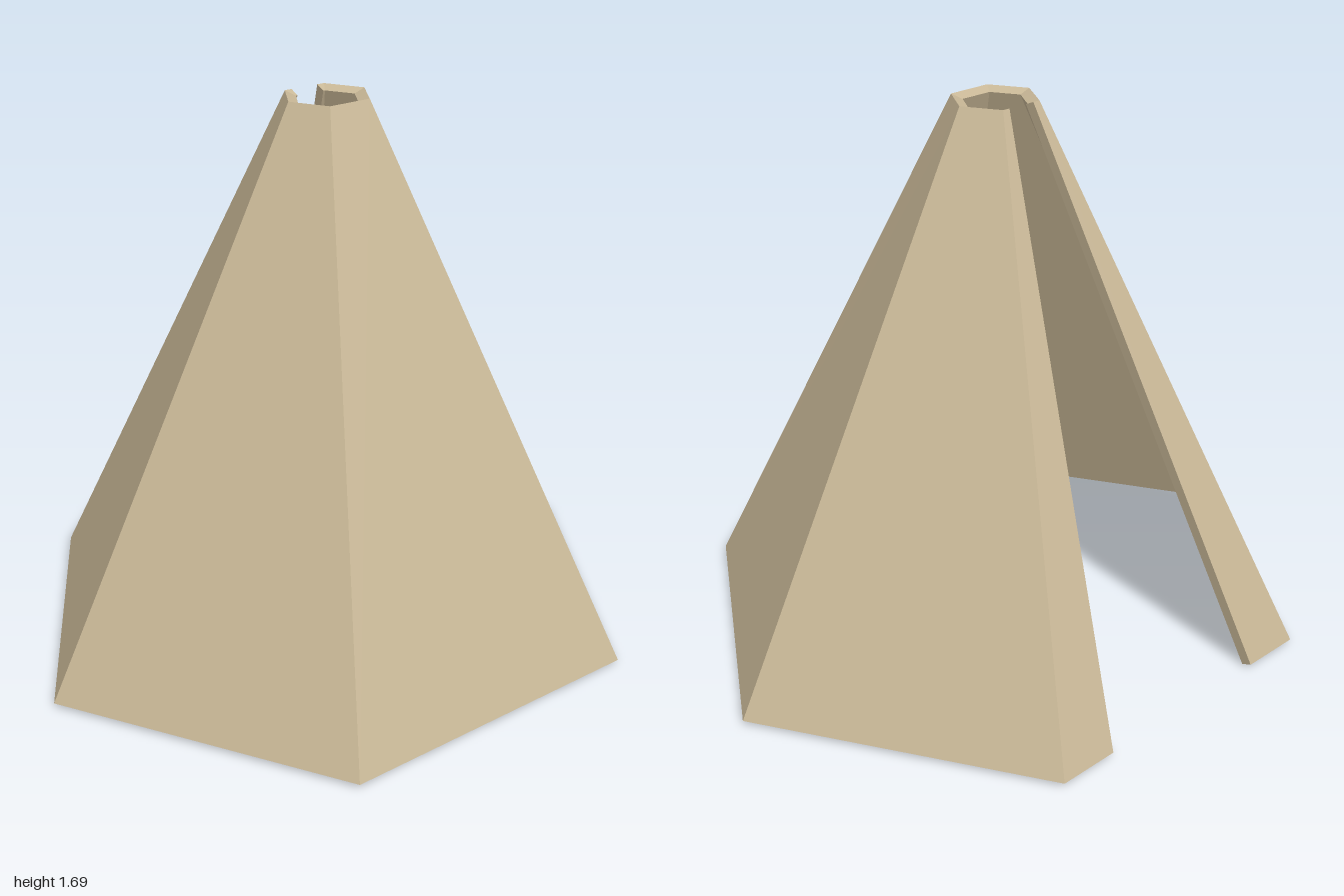
import * as THREE from 'three';

// Half outline from the front centre panel's corner round to the slit at the back.
// Each entry is [x, z] at: outer bottom, outer top, inner top, inner bottom.
const HALF = [
  [[0.5, 0.83], [0.07, 0.11], [0.052, 0.08], [0.48, 0.798]],
  [[1, 0], [0.135, 0], [0.1, 0], [0.963, 0]],
  [[0.5, -0.83], [0.07, -0.11], [0.052, -0.08], [0.48, -0.798]],
  [[0.305, -0.83], [0.046, -0.11], [0.046, -0.08], [0.305, -0.798]],
];
// Heights of the same four edges; the rims are square to the sloping walls
const LEVELS = [0.014, 1.69, 1.677, 0];

const section = (half, side) =>
  half.map(([x, z], i) => new THREE.Vector3(x * side, LEVELS[i], z));

// Solid sloping panel between two cross-sections
function panelGeometry(a, b, capStart, capEnd) {
  const points = [];
  const quad = (p, q, r, s) => [p, q, r, p, r, s].forEach((v) => points.push(v.x, v.y, v.z));
  for (let i = 0; i < 4; i++) {
    const j = (i + 1) % 4;
    quad(a[i], b[i], b[j], a[j]);
  }
  if (capStart) quad(a[0], a[1], a[2], a[3]);
  if (capEnd) quad(b[3], b[2], b[1], b[0]);
  const geometry = new THREE.BufferGeometry();
  geometry.setAttribute('position', new THREE.Float32BufferAttribute(points, 3));
  geometry.computeVertexNormals();
  return geometry;
}

export function createModel() {
  const group = new THREE.Group();
  group.name = 'hexagonalTent';
  const canvas = new THREE.MeshStandardMaterial({ color: 0xc8b796 });
  canvas.name = 'tan canvas';

  // Run from the left side of the rear opening, round the front, to its right side
  const sections = [
    ...[...HALF].reverse().map((h) => section(h, -1)),
    ...HALF.map((h) => section(h, 1)),
  ];
  const names = ['rightDoorFlap', 'rightBackWall', 'rightFrontWall', 'frontWall',
    'leftFrontWall', 'leftBackWall', 'leftDoorFlap'];

  names.forEach((name, i) => {
    const wall = new THREE.Mesh(
      panelGeometry(sections[i], sections[i + 1], i === 0, i === names.length - 1), canvas);
    wall.name = name;
    group.add(wall);
  });
  return group;
}
